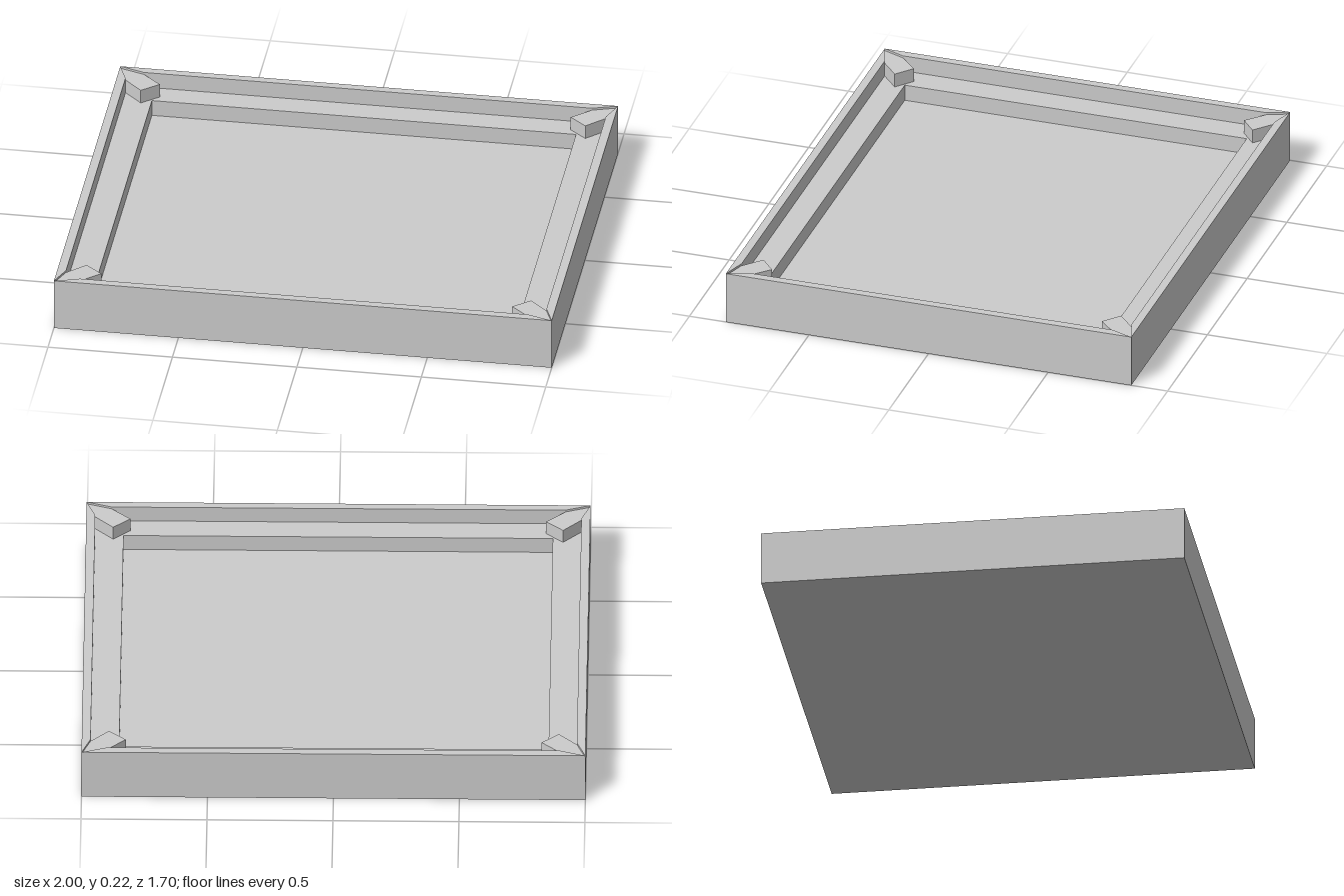
import * as THREE from 'three';

const W = 1, D = 0.848;            // outer half sizes
const FLOOR = 0.082, LEDGE = 0.15, BLOCK = 0.208, TOP = 0.217;
const material = new THREE.MeshStandardMaterial({ color: 0xcccccc, flatShading: true });

// Upright prism over an [x, z] outline, with an optional hole
function slab(outline, y0, y1, hole) {
  const toPoints = (list) => list.map(([x, z]) => new THREE.Vector2(x, -z));
  const shape = new THREE.Shape(toPoints(outline));
  if (hole) shape.holes.push(new THREE.Path(toPoints(hole)));
  const geometry = new THREE.ExtrudeGeometry(shape, { depth: y1 - y0, bevelEnabled: false });
  return geometry.rotateX(-Math.PI / 2).translate(0, y0, 0);
}

// Counter-clockwise seen from above, so hole walls face inwards
const rect = (x, z) => [[-x, z], [x, z], [x, -z], [-x, -z]];

export function createModel() {
  const group = new THREE.Group();
  const add = (name, geometry) => {
    const mesh = new THREE.Mesh(geometry, material);
    mesh.name = name;
    group.add(mesh);
  };

  // Floor plate and the stepped ledge around it
  add('floor', slab(rect(W, D), 0, FLOOR));
  add('ledge', slab(rect(W, D), FLOOR, LEDGE, rect(0.852, 0.715)));

  // Thin rim walls, mitred to meet the corner blocks
  for (const s of [-1, 1]) {
    add(s > 0 ? 'frontRim' : 'backRim',
      slab([[-W, s * D], [W, s * D], [0.9, s * 0.815], [-0.9, s * 0.815]], LEDGE, TOP));
    add(s > 0 ? 'leftRim' : 'rightRim',
      slab([[s * W, -D], [s * W, D], [s * 0.965, 0.76], [s * 0.965, -0.76]], LEDGE, TOP));
  }

  // Flat corner blocks, pointed towards the outer corners and just below the rim
  const corner = [[W, D], [0.9, 0.815], [0.825, 0.748], [0.893, 0.69], [0.965, 0.76]];
  for (const sx of [-1, 1]) for (const sz of [-1, 1]) {
    add((sz > 0 ? 'front' : 'back') + (sx > 0 ? 'Left' : 'Right') + 'Corner',
      slab(corner.map(([x, z]) => [x * sx, z * sz]), LEDGE, BLOCK));
  }
  return group;
}
